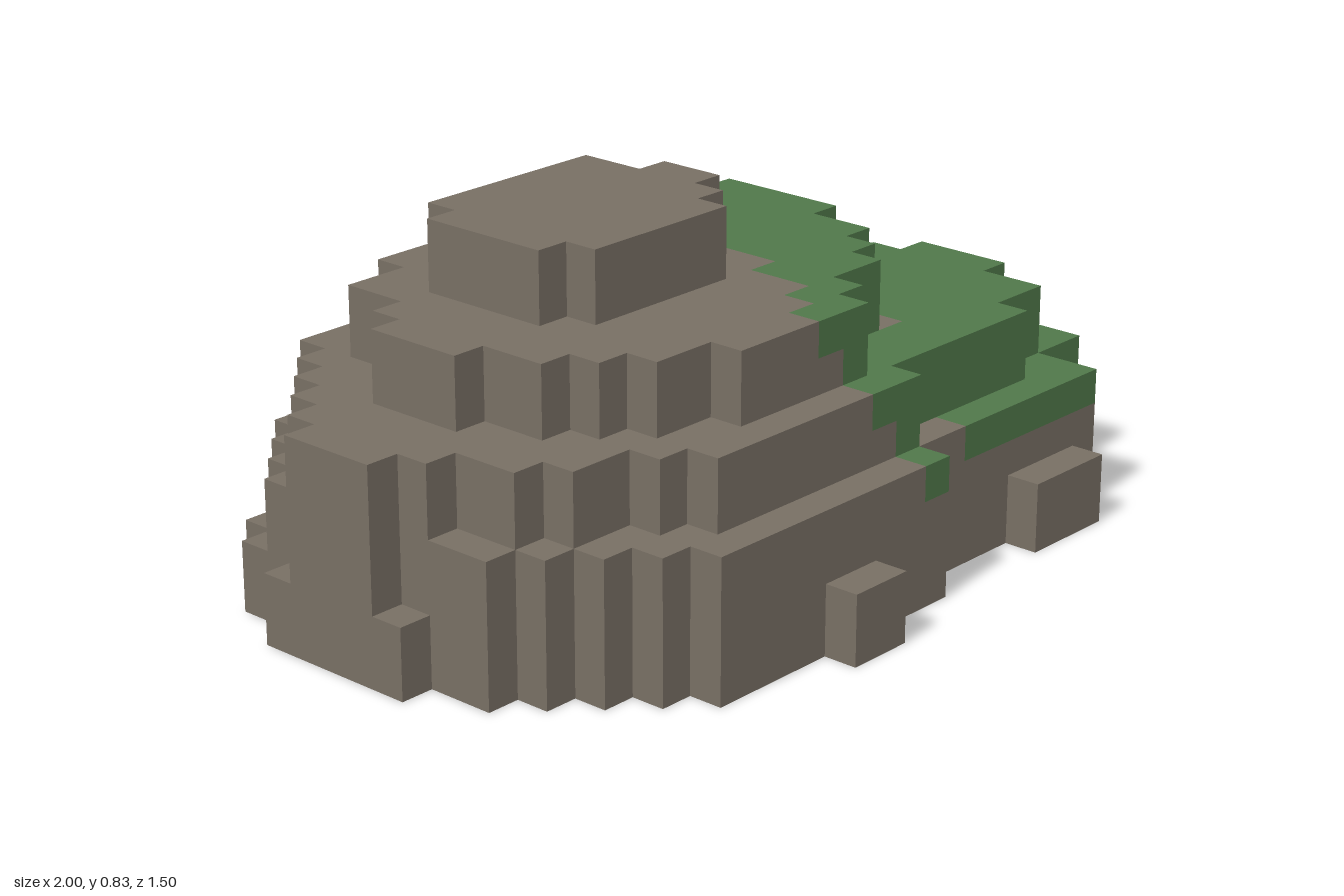
import * as THREE from 'three';

const U = 1 / 12, COLS = 24, ROWS = 18; // size of one block and of the plan

// Each tier: height in blocks, first row, then [first column, end column] per row
const TIERS = [
  { top: 2, row: 0, spans: [[10, 16], [6, 19], [4, 20], [2, 21], [1, 22], [1, 22], [0, 22], [0, 22], [0, 23],
    [0, 24], [0, 24], [1, 24], [1, 24], [2, 24], [3, 22], [4, 22], [5, 14], [9, 11]] },
  { top: 2, row: 16, spans: [[18, 22 - 1]] },
  { top: 4, row: 1, spans: [[6, 19], [4, 20], [3, 21], [2, 22], [1, 22], [1, 22], [0, 22], [0, 23],
    [0, 24], [1, 24], [1, 24], [1, 24], [2, 24], [3, 22], [4, 22], [5, 14]] },
  { top: 6, row: 1, spans: [[8, 17], [5, 19], [4, 20], [3, 21], [2, 21], [1, 21], [0, 21], [0, 22],
    [0, 23], [1, 23], [2, 23], [2, 22], [3, 22], [5, 20], [6, 14]] },
  { top: 8, row: 3, spans: [[7, 17], [5, 18], [5, 19], [4, 19], [3, 19], [3, 19], [3, 18], [4, 18],
    [4, 17], [5, 16], [6, 14], [8, 13]] },
  { top: 10, row: 5, spans: [[7, 13], [6, 13], [6, 14], [6, 14], [6, 13], [7, 12]] },
];

// First mossy column in each row, starting at row 3
const MOSS_START = [18, 17, 16, 15, 14, 14, 14, 14, 13, 13, 12, 11, 12, 13];

function heightMap() {
  const h = Array.from({ length: ROWS }, () => new Array(COLS).fill(0));
  for (const { top, row, spans } of TIERS)
    spans.forEach(([a, b], k) => { for (let i = a; i < b; i++) h[row + k][i] = top; });
  return h;
}

// Height above which a column is mossy
function mossLine(i, j) {
  const start = MOSS_START[j - 3];
  if (start === undefined || i < start) return 99;
  if (j === 15 && (i === 14 || i === 15)) return 99; // bare patches
  if (j === 12 && i === 16) return 99;
  if (j === 14 && i === 11) return 7; // ragged edge climbing the tiers
  if (j === 15 && i === 12) return 5;
  return 3;
}

// Collects quads and turns them into one mesh
function quadSheet() {
  const pos = [];
  return {
    add(a, b, c, d) {
      for (const [x, y, z] of [a, b, c, a, c, d]) pos.push(x * U - 1, y * U, z * U - 0.75);
    },
    mesh(name, material) {
      const g = new THREE.BufferGeometry();
      g.setAttribute('position', new THREE.Float32BufferAttribute(pos, 3));
      g.computeVertexNormals();
      const m = new THREE.Mesh(g, material);
      m.name = name;
      return m;
    },
  };
}

export function createModel() {
  const stone = new THREE.MeshStandardMaterial({ color: 0x786f64, side: THREE.DoubleSide });
  stone.name = 'stone';
  const moss = new THREE.MeshStandardMaterial({ color: 0x50784a, side: THREE.DoubleSide });
  moss.name = 'moss';

  const h = heightMap();
  const at = (i, j) => h[j]?.[i] ?? 0;
  const parts = { stoneLedges: quadSheet(), stoneWalls: quadSheet(), mossLedges: quadSheet(), mossWalls: quadSheet() };

  for (let j = 0; j < ROWS; j++) for (let i = 0; i < COLS; i++) {
    const top = at(i, j);
    if (!top) continue;
    const line = mossLine(i, j);

    // Ledge on top of the column
    (top > line ? parts.mossLedges : parts.stoneLedges)
      .add([i, top, j], [i, top, j + 1], [i + 1, top, j + 1], [i + 1, top, j]);

    // Walls down to each lower neighbour, corners ordered left to right from outside
    const sides = [
      [at(i, j + 1), [i, j + 1], [i + 1, j + 1]],
      [at(i, j - 1), [i + 1, j], [i, j]],
      [at(i + 1, j), [i + 1, j + 1], [i + 1, j]],
      [at(i - 1, j), [i, j], [i, j + 1]],
    ];
    for (const [low, p, q] of sides) {
      const wall = (sheet, y0, y1) => {
        if (y1 > y0) sheet.add([p[0], y0, p[1]], [q[0], y0, q[1]], [q[0], y1, q[1]], [p[0], y1, p[1]]);
      };
      wall(parts.stoneWalls, low, Math.min(top, line));
      wall(parts.mossWalls, Math.max(low, line), top);
    }
  }

  // Hollow stepped boulder, open underneath
  const boulder = new THREE.Group();
  boulder.name = 'boulder';
  for (const [name, sheet] of Object.entries(parts))
    boulder.add(sheet.mesh(name, name.startsWith('moss') ? moss : stone));
  return boulder;
}
